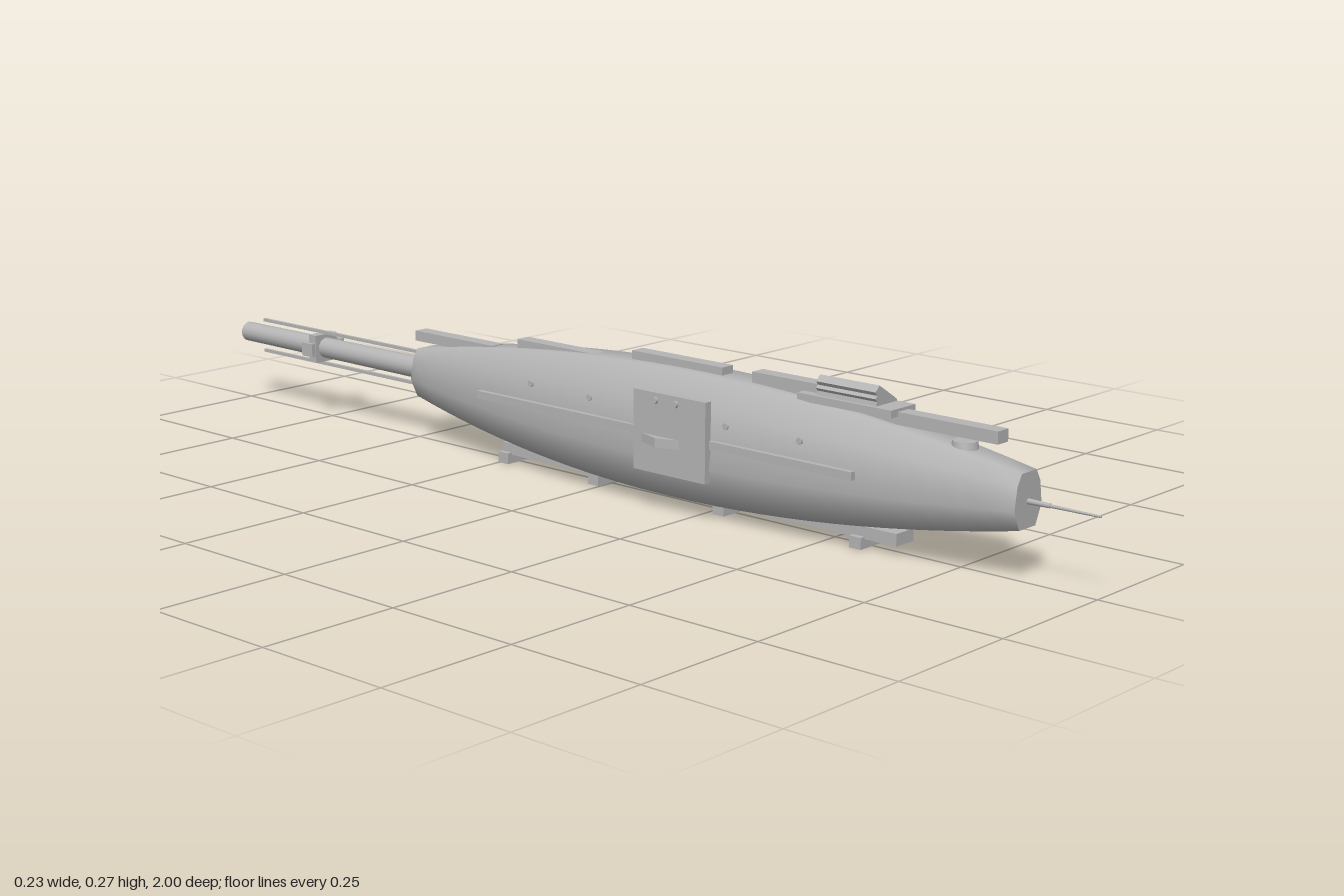
import * as THREE from 'three';

const grey = new THREE.MeshStandardMaterial({ color: 0xb4b4b4 });
grey.name = 'hull grey';
grey.side = THREE.DoubleSide;

const lerp = THREE.MathUtils.lerp;
// right half of the cross-section, top to bottom: widest and at the ends
const WIDE = [[0.032, 0.238], [0.078, 0.193], [0.095, 0.095], [0.059, 0.023]];
const END = [[0.02, 0.177], [0.031, 0.158], [0.037, 0.12], [0.022, 0.087]];
const BACK = -0.48, FRONT = 0.87, MID = 0.195;

function section(z) {
  const t = (z - MID) / ((FRONT - BACK) / 2);
  const k = 1 - t * t;
  const half = WIDE.map((p, i) => [lerp(END[i][0], p[0], k), lerp(END[i][1], p[1], k)]);
  return [...half, ...half.map(([x, y]) => [-x, y]).reverse()];
}

// skin through a list of rings [points, z], ordered back to front
function loft(rings) {
  const n = rings[0][0].length, pos = [], idx = [];
  for (const [pts, z] of rings) for (const [x, y] of pts) pos.push(x, y, z);
  for (let i = 0; i < rings.length - 1; i++) {
    for (let j = 0; j < n; j++) {
      const a = i * n + j, b = i * n + (j + 1) % n;
      idx.push(a, a + n, b, b, a + n, b + n);
    }
  }
  const g = new THREE.BufferGeometry();
  g.setAttribute('position', new THREE.Float32BufferAttribute(pos, 3));
  g.setIndex(idx);
  g.computeVertexNormals();
  return g;
}

const outline = (pts) => pts.map(([x, y]) => new THREE.Vector2(x, y));

export function createModel() {
  const model = new THREE.Group();
  model.name = 'submarine';

  const add = (name, geometry, x = 0, y = 0, z = 0) => {
    const m = new THREE.Mesh(geometry, grey);
    m.name = name;
    m.position.set(x, y, z);
    model.add(m);
    return m;
  };
  // box from its limits
  const box = (name, x0, x1, y0, y1, z0, z1) => add(name,
    new THREE.BoxGeometry(x1 - x0, y1 - y0, z1 - z0),
    (x0 + x1) / 2, (y0 + y1) / 2, (z0 + z1) / 2);
  // cylinder along z
  const rod = (name, r0, r1, z0, z1, y, sides = 16) => add(name,
    new THREE.CylinderGeometry(r1, r0, z1 - z0, sides).rotateX(Math.PI / 2), 0, y, (z0 + z1) / 2);

  // hull with a flat nose and a recessed stern
  const rings = [];
  for (let i = 0; i <= 28; i++) {
    const z = lerp(BACK, FRONT, i / 28);
    rings.push([section(z), z]);
  }
  add('hull', loft(rings));
  add('noseCap', new THREE.ShapeGeometry(new THREE.Shape(outline(section(FRONT)))), 0, 0, FRONT);
  const stern = section(BACK);
  const inner = stern.map(([x, y]) => [x * 0.8, 0.132 + (y - 0.132) * 0.8]);
  const rim = new THREE.Shape(outline(stern));
  rim.holes.push(new THREE.Path(outline(inner)));
  add('sternRim', new THREE.ShapeGeometry(rim), 0, 0, BACK);
  add('sternRecess', loft([[inner, BACK], [inner, BACK + 0.03]]));
  add('sternBulkhead', new THREE.ShapeGeometry(new THREE.Shape(outline(inner))), 0, 0, BACK + 0.03);

  // nose probe
  rod('probeBase', 0.005, 0.004, 0.86, 0.91, 0.13, 8);
  rod('probeTip', 0.003, 0.002, 0.91, 1, 0.13, 8);

  // tail boom with guide rods and collar
  rod('tailBoom', 0.019, 0.021, -1, -0.45, 0.135);
  for (const y of [0.103, 0.165]) box('guideRod', -0.003, 0.003, y - 0.003, y + 0.003, -0.95, -0.45);
  box('collar', -0.027, 0.027, 0.108, 0.162, -0.783, -0.763);
  for (const s of [-1, 1]) {
    box('collarArm', s * 0.03 - 0.008, s * 0.03 + 0.008, 0.129, 0.141, -0.778, -0.768);
    box('collarKnob', s * 0.037 - 0.004, s * 0.037 + 0.004, 0.122, 0.148, -0.788, -0.758);
  }

  // deck rails: back z, front z, bottom y, top y
  const rails = [
    [0.44, 0.82, 0.213, 0.234], [0.33, 0.55, 0.228, 0.254], [0.06, 0.265, 0.225, 0.251],
    [-0.22, -0.015, 0.212, 0.231], [-0.49, -0.285, 0.19, 0.209],
  ];
  for (const [z0, z1, y0, y1] of rails) box('deckRail', -0.014, 0.014, y0, y1, z0, z1);

  // sloped rack on its base plate
  box('rackBase', -0.032, 0.032, 0.226, 0.239, 0.44, 0.63);
  const wedge = new THREE.Shape(outline([
    [-0.025, 0.237], [0.031, 0.237], [0.029, 0.243], [-0.017, 0.272], [-0.027, 0.262],
    [-0.023, 0.256], [-0.027, 0.251], [-0.023, 0.246],
  ]));
  add('slopedRack', new THREE.ExtrudeGeometry(wedge, { depth: 0.12, bevelEnabled: false }), 0, 0, 0.475);

  // small deck dome near the nose
  add('deckDome', new THREE.CylinderGeometry(0.02, 0.023, 0.018, 20), 0, 0.197, 0.75);

  // flanks: strip, door, handle and bolts
  for (const s of [-1, 1]) {
    const side = (name, x0, x1, ...rest) => box(name, Math.min(s * x0, s * x1), Math.max(s * x0, s * x1), ...rest);
    const bolt = (name, x, y, z, len) => add(name,
      new THREE.CylinderGeometry(0.006, 0.006, len, 10).rotateZ(Math.PI / 2), s * x, y, z);
    side('sideStrip', 0.083, 0.093, 0.131, 0.145, -0.245, 0.6);
    side('door', 0.089, 0.103, 0.073, 0.212, 0.145, 0.305);
    const grip = new THREE.Shape(outline([[-0.045, 0], [0.045, 0], [0, 0.014]]));
    const handle = new THREE.ExtrudeGeometry(grip, { depth: 0.016, bevelEnabled: false });
    handle.rotateX(Math.PI / 2).rotateY(s * Math.PI / 2);
    add('doorHandle', handle, s * 0.102, 0.138, 0.205);
    for (const z of [0.195, 0.24]) bolt('doorBolt', 0.102, 0.199, z, 0.012);
    for (const z of [0.48, 0.33, 0.02, -0.13]) {
      const [, a, b] = section(z);
      const shoulder = section(z)[1];
      const k = (shoulder[1] - 0.172) / (a === shoulder ? shoulder[1] - b[1] : 1);
      bolt('hullBolt', lerp(shoulder[0], b[0], THREE.MathUtils.clamp(k, 0, 1)), 0.172, z, 0.012);
    }
  }

  // keel bar with cross feet
  box('keelBar', -0.023, 0.023, 0.016, 0.037, -0.25, 0.64);
  for (const z of [0.565, 0.275, -0.015, -0.24]) box('keelFoot', -0.033, 0.033, 0, 0.02, z - 0.012, z + 0.012);

  return model;
}
